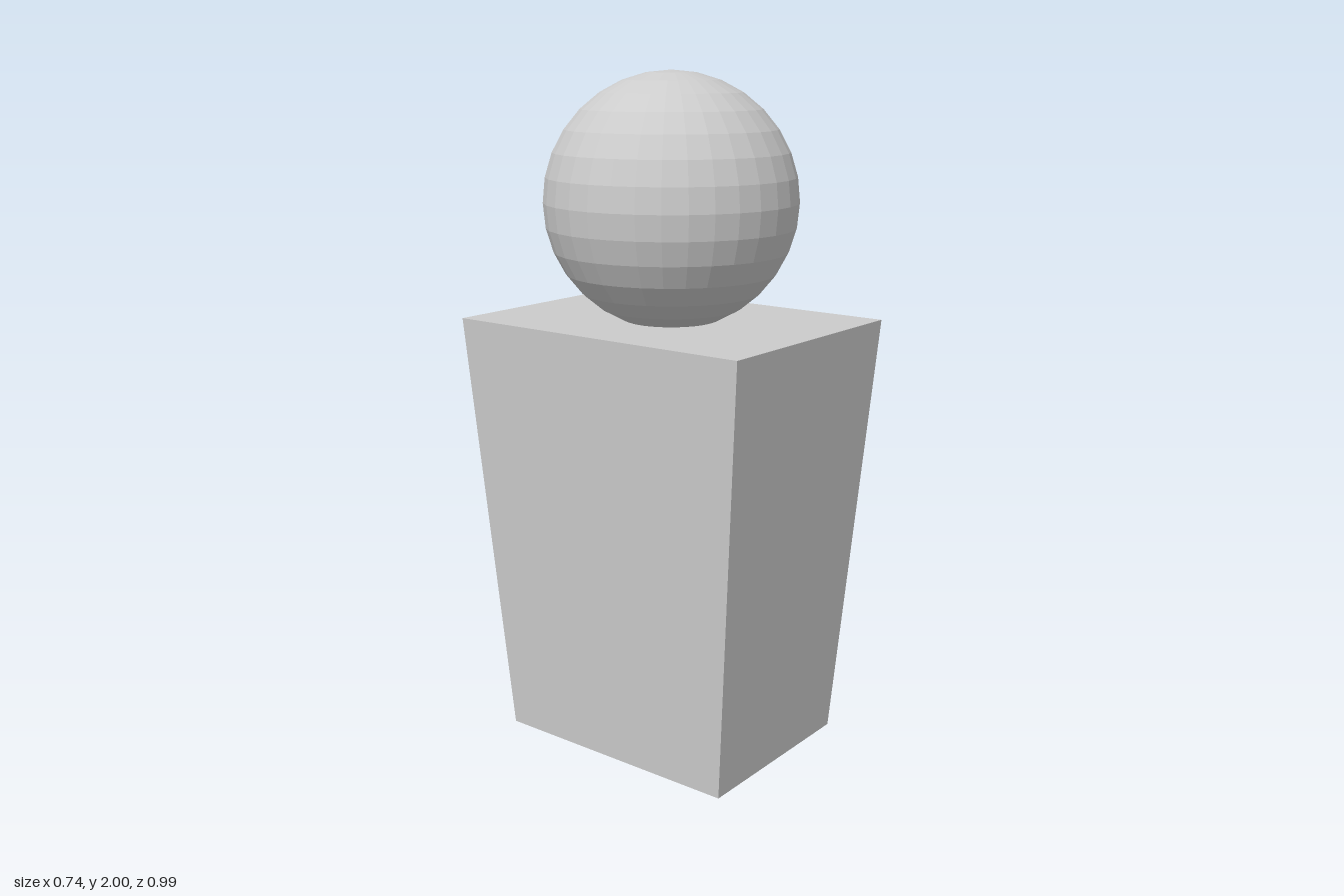
import * as THREE from 'three';

const TOP_Y = 1.29;      // height of the pedestal
const TAPER = 0.8;       // foot size relative to the top
const RADIUS = 0.368;    // ball radius

// Box whose foot is narrower than its top
function taperedBox(width, height, depth, taper) {
  const geometry = new THREE.BoxGeometry(width, height, depth);
  geometry.translate(0, height / 2, 0);
  const p = geometry.attributes.position;
  for (let i = 0; i < p.count; i++) {
    const s = THREE.MathUtils.lerp(taper, 1, p.getY(i) / height);
    p.setXYZ(i, p.getX(i) * s, p.getY(i), p.getZ(i) * s);
  }
  geometry.computeVertexNormals();
  return geometry;
}

export function createModel() {
  const model = new THREE.Group();
  model.name = 'ballOnPedestal';
  const material = new THREE.MeshStandardMaterial({ color: 0xcccccc, flatShading: true });

  // Pedestal, widening upwards
  const pedestal = new THREE.Mesh(taperedBox(0.73, TOP_Y, 0.987, TAPER), material);
  pedestal.name = 'pedestal';

  // Faceted ball, sunk slightly into the pedestal
  const ball = new THREE.Mesh(new THREE.SphereGeometry(RADIUS, 32, 16), material);
  ball.name = 'ball';
  ball.position.y = 2 - RADIUS;

  model.add(pedestal, ball);
  return model;
}
